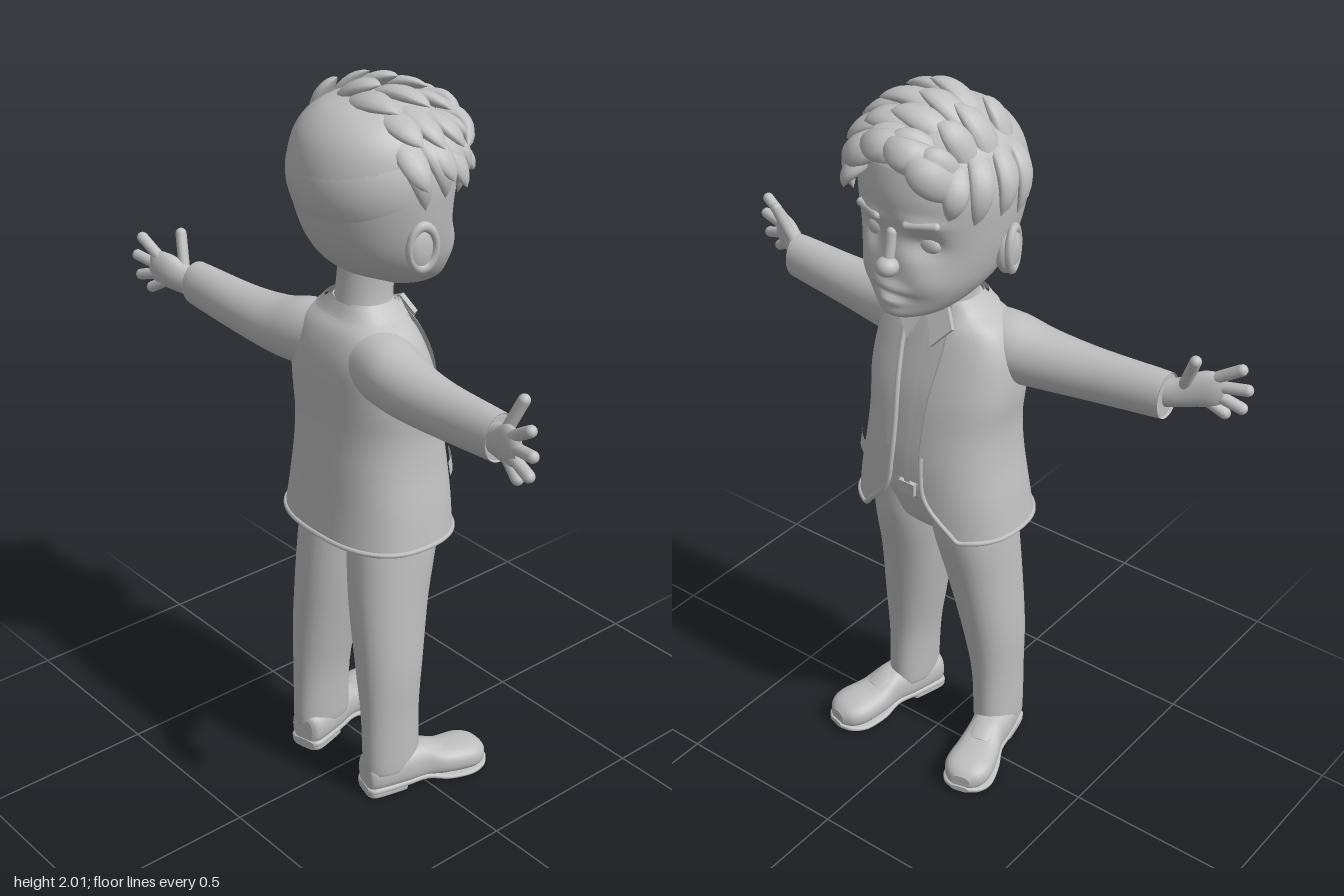
import * as THREE from 'three';

const V = (x, y, z) => new THREE.Vector3(x, y, z);
const PI = Math.PI;
const clay = new THREE.MeshStandardMaterial({ color: 0xbfbfbf, side: THREE.DoubleSide });
clay.name = 'warmGrey';

// Smooth skin over rows of points; closed rows wrap round, caps close both ends
function skin(rows, closed = true, caps = closed) {
  const n = rows[0].length, m = rows.length, pos = [], idx = [];
  rows.forEach((r) => r.forEach((p) => pos.push(p.x, p.y, p.z)));
  for (let j = 0; j < m - 1; j++) {
    for (let i = 0; i < (closed ? n : n - 1); i++) {
      const a = j * n + i, b = j * n + ((i + 1) % n);
      idx.push(a, b, a + n, b, b + n, a + n);
    }
  }
  if (caps) {
    [0, m - 1].forEach((j, e) => {
      const c = V(0, 0, 0), base = pos.length / 3;
      rows[j].forEach((p) => c.addScaledVector(p, 1 / n));
      pos.push(c.x, c.y, c.z);
      rows[j].forEach((p) => pos.push(p.x, p.y, p.z));
      for (let i = 0; i < n; i++) {
        const a = base + 1 + i, b = base + 1 + ((i + 1) % n);
        if (e) idx.push(a, b, base); else idx.push(b, a, base);
      }
    });
  }
  const g = new THREE.BufferGeometry();
  g.setAttribute('position', new THREE.Float32BufferAttribute(pos, 3));
  g.setIndex(idx);
  g.computeVertexNormals();
  return g;
}

// Spline through key sections [y, cx, cz, rx, rz, extra]
function keyAt(keys, t) {
  const i = Math.min(Math.floor(t), keys.length - 2), f = t - i;
  const k = (j) => keys[Math.max(0, Math.min(keys.length - 1, j))];
  return keys[i].map((p1, c) => {
    const p0 = k(i - 1)[c], p2 = k(i + 1)[c], p3 = k(i + 2)[c];
    const a = (p2 - p0) / 2, b = (p3 - p1) / 2;
    return p1 + f * (a + f * (3 * (p2 - p1) - 2 * a - b + f * (2 * (p1 - p2) + a + b)));
  });
}
// Angle 0 is the back (+z), PI the face side (-z)
function ringPoint(k, th, e = 2, off = 0) {
  const s = Math.sin(th), c = Math.cos(th), q = 2 / e;
  return V(k[1] + (k[3] + off) * Math.sign(s) * Math.abs(s) ** q, k[0],
    k[2] + (k[4] + off) * Math.sign(c) * Math.abs(c) ** q);
}
function loft(keys, { n = 32, per = 4, e = 2 } = {}) {
  const rows = [], total = (keys.length - 1) * per;
  for (let j = 0; j <= total; j++) {
    const k = keyAt(keys, j / per);
    rows.push(Array.from({ length: n }, (_, i) => ringPoint(k, (i / n) * 2 * PI, e)));
  }
  return skin(rows);
}
function mirrored(geo) {
  const g = geo.clone().scale(-1, 1, 1), a = g.index.array;
  for (let i = 0; i < a.length; i += 3) [a[i], a[i + 1]] = [a[i + 1], a[i]];
  return g;
}
function ball(x, y, z, rx, ry, rz) {
  return new THREE.SphereGeometry(1, 24, 16).scale(rx, ry, rz).translate(x, y, z);
}
function capsule(a, b, r) {
  const d = b.clone().sub(a);
  const g = new THREE.CapsuleGeometry(r, d.length(), 6, 12);
  g.applyQuaternion(new THREE.Quaternion().setFromUnitVectors(V(0, 1, 0), d.clone().normalize()));
  const c = a.clone().lerp(b, 0.5);
  return g.translate(c.x, c.y, c.z);
}

// Jacket sections; the last value is the half angle of the front opening
const JACKET = [
  [0.80, 0, 0.035, 0.245, 0.18, 0.6], [0.9, 0, 0.03, 0.23, 0.175, 0.22], [1.0, 0, 0.03, 0.212, 0.17, 0.16],
  [1.1, 0, 0.035, 0.205, 0.16, 0.16], [1.2, 0, 0.045, 0.213, 0.15, 0.18], [1.3, 0, 0.06, 0.205, 0.133, 0.24],
  [1.37, 0, 0.062, 0.17, 0.11, 0.32], [1.41, 0, 0.055, 0.115, 0.085, 0.45], [1.44, 0, 0.05, 0.085, 0.075, 0.65]];
const JE = 2.5;

// Patch lying on the jacket, from th0(t) to th1(t)
function jacketPatch(t0, t1, th0, th1, off, m = 16, n = 10) {
  const rows = [];
  for (let j = 0; j <= m; j++) {
    const t = t0 + ((t1 - t0) * j) / m, k = keyAt(JACKET, t), row = [];
    for (let i = 0; i <= n; i++) {
      const a = th0(t, k), b = th1(t, k);
      row.push(ringPoint(k, a + ((b - a) * i) / n, JE, off));
    }
    rows.push(row);
  }
  return skin(rows, false);
}

// Hair directions: phi tips sideways from the crown, psi towards the back
function scalp(phi, psi, off) {
  return V((0.21 + off) * Math.sin(phi) * Math.cos(psi), 1.77 + (0.195 + off) * Math.cos(phi) * Math.cos(psi),
    0.015 + (0.205 + off) * Math.sin(psi));
}
function lock(a, b, c, w, th) {
  const path = new THREE.QuadraticBezierCurve3(a, b, c), rows = [];
  for (let j = 0; j <= 9; j++) {
    const t = j / 9, p = path.getPoint(t), T = path.getTangent(t);
    const N = p.clone().sub(V(0, 1.77, 0.015));
    N.addScaledVector(T, -N.dot(T)).normalize();
    const B = N.clone().cross(T), s = Math.max(0.02, (0.65 + 1.1 * t) * (1 - t) ** 0.75);
    rows.push(Array.from({ length: 12 }, (_, i) => {
      const q = (i / 12) * 2 * PI;
      return p.clone().addScaledVector(B, Math.cos(q) * w * s).addScaledVector(N, Math.sin(q) * th * s);
    }));
  }
  return skin(rows);
}

export function createModel() {
  const model = new THREE.Group();
  const add = (name, geo) => {
    const m = new THREE.Mesh(geo, clay);
    m.name = name;
    model.add(m);
  };
  const pair = (name, geo) => { add(name + 'Left', geo); add(name + 'Right', mirrored(geo)); };
  let seed = 7;
  const rnd = () => (seed = (seed * 16807) % 2147483647) / 2147483647 - 0.5;

  // Head with eye sockets, brows, cheeks and lips shaped by soft pushes
  const head = loft([
    [1.452, 0, -0.12, 0.03, 0.04], [1.475, 0, -0.085, 0.095, 0.1], [1.53, 0, -0.035, 0.15, 0.155],
    [1.6, 0, -0.002, 0.185, 0.183], [1.7, 0, 0.017, 0.207, 0.2], [1.79, 0, 0.023, 0.213, 0.207],
    [1.88, 0, 0.025, 0.188, 0.182], [1.94, 0, 0.02, 0.13, 0.13], [1.965, 0, 0.02, 0.05, 0.05]], { n: 80, per: 8 });
  const pushes = [[0.078, 1.665, 0.045, 0.03, 0.028], [0.08, 1.725, 0.05, 0.014, -0.012], [0.095, 1.57, 0.05, 0.045, -0.014],
    [0, 1.545, 0.05, 0.014, -0.012], [0, 1.527, 0.045, 0.006, 0.012], [0, 1.51, 0.035, 0.012, -0.012], [0, 1.475, 0.05, 0.025, -0.012]];
  const hp = head.attributes.position;
  for (let i = 0; i < hp.count; i++) {
    if (hp.getZ(i) > -0.05) continue;
    let z = hp.getZ(i);
    for (const [x, y, sx, sy, d] of pushes) {
      z += d * Math.exp(-(((Math.abs(hp.getX(i)) - x) / sx) ** 2) - ((hp.getY(i) - y) / sy) ** 2);
    }
    hp.setZ(i, z);
  }
  head.computeVertexNormals();
  add('head', head);
  add('nose', ball(0, 1.605, -0.202, 0.03, 0.026, 0.03));
  add('noseBridge', capsule(V(0, 1.62, -0.196), V(0, 1.69, -0.182), 0.014));
  pair('eye', ball(0.078, 1.662, -0.132, 0.036, 0.026, 0.02));
  pair('eyebrow', capsule(V(0.045, 1.722, -0.183), V(0.115, 1.728, -0.158), 0.011));
  pair('ear', ball(0.193, 1.62, 0.03, 0.026, 0.065, 0.042));
  pair('earRim', new THREE.TorusGeometry(0.042, 0.011, 8, 24).scale(0.85, 1.3, 1).rotateY(PI / 2 - 0.3).translate(0.207, 1.625, 0.032));
  add('neck', loft([[1.37, 0, 0.055, 0.1, 0.085], [1.44, 0, 0.048, 0.078, 0.073], [1.54, 0, 0.035, 0.078, 0.072]]));

  // Hair: smooth cap, locks swept to one side, fringe and side tufts
  add('hairCap', new THREE.SphereGeometry(1, 40, 20, 0, 2 * PI, 0, PI * 0.5).rotateX(0.42).scale(0.22, 0.2, 0.214).translate(0, 1.77, 0.018));
  [-0.8, -0.45, -0.1, 0.25].forEach((psi0) => [-0.95, -0.45, 0.0, 0.45, 0.95].forEach((phi0) => {
    const phi = phi0 + rnd() * 0.2, psi = psi0 + rnd() * 0.15, tip = phi + 0.62 + rnd() * 0.15;
    add('topLock', lock(scalp(phi, psi, -0.01), scalp(phi + 0.35, psi, 0.035), scalp(tip, psi - 0.08, 0.04), 0.05, 0.026));
  }));
  [-1.15, -0.65, -0.15, 0.35].forEach((phi, i) => {
    add('fringeLock', lock(scalp(phi, -0.8, 0), scalp(phi + 0.35, -1.0, 0.075), scalp(phi + 0.85, -0.9 + 0.06 * i, 0.035), 0.058, 0.036));
  });
  [-0.75, -0.45, -0.12, 0.18].forEach((psi, i) => [-1, 1].forEach((s) => {
    add('sideLock', lock(scalp(s * 0.95, psi + 0.1, 0), scalp(s * 1.3, psi, 0.05), scalp(s * (1.72 + 0.08 * (i % 2)), psi - 0.1, 0.012), 0.045, 0.022));
  }));

  // Shirt, collar and belt
  add('shirt', loft(JACKET.slice(1).map((k) => [k[0], 0, k[2], k[3] * 0.93, k[4] * 0.9]), { n: 48, e: JE }));
  add('shirtPlacket', jacketPatch(1, 6.5, () => PI - 0.02, () => PI + 0.02, -0.009));
  const flap = new THREE.Shape([[0.0, 0.02], [0.055, 0.05], [0.085, 0.0], [0.035, -0.06]].map(([x, y]) => new THREE.Vector2(x, y)));
  pair('shirtCollar', new THREE.ExtrudeGeometry(flap, { depth: 0.012, bevelEnabled: false }).toNonIndexed().rotateX(0.45)
    .translate(0.003, 1.395, -0.058).setIndex([...Array(36).keys()]));
  add('belt', loft([[0.9, 0, 0.025, 0.19, 0.146], [0.905, 0, 0.025, 0.198, 0.154], [0.935, 0, 0.025, 0.198, 0.154], [0.94, 0, 0.025, 0.19, 0.146]], { n: 48 }));
  add('beltBuckle', new THREE.BoxGeometry(0.05, 0.036, 0.014).translate(0, 0.92, -0.132));

  // Open jacket with lapels, pocket flaps and rolled edge
  const edge = (t, k) => PI - k[5];
  add('jacket', jacketPatch(0, 8, (t, k) => k[5] - PI, edge, 0, 40, 64));
  const lapelWidth = (t) => 0.05 + 0.42 * Math.sin(PI * Math.min(1, Math.max(0, (t - 2.4) / 5.2)) ** 1.5);
  pair('lapel', jacketPatch(2.4, 7.8, (t, k) => edge(t, k) - lapelWidth(t), edge, 0.011, 24));
  pair('pocketFlap', jacketPatch(1.6, 2.0, () => 2.05, () => 2.6, 0.012, 4));
  const rim = [];
  for (let t = 7.8; t >= 0; t -= 0.3) { const k = keyAt(JACKET, t); rim.push(ringPoint(k, edge(t, k), JE)); }
  const hem = JACKET[0];
  for (let i = 1; i < 30; i++) rim.push(ringPoint(hem, (PI - hem[5]) * (1 - i / 15), JE));
  for (let i = 26; i >= 0; i--) rim.push(V(-rim[i].x, rim[i].y, rim[i].z));
  add('jacketEdge', new THREE.TubeGeometry(new THREE.CatmullRomCurve3(rim), 200, 0.007, 8));
  add('jacketCollar', jacketPatch(7, 8, () => -2.2, () => 2.2, 0.012, 8, 32));

  // Sleeves
  pair('sleeve', loft([[0.09, -1.305, 0.1, 0.09, 0.08], [0.17, -1.3, 0.105, 0.092, 0.088], [0.26, -1.29, 0.118, 0.08, 0.08],
    [0.4, -1.29, 0.13, 0.07, 0.066], [0.59, -1.3, 0.14, 0.064, 0.052], [0.6, -1.3, 0.14, 0.06, 0.048],
    [0.601, -1.3, 0.14, 0.045, 0.035]]).rotateZ(-PI / 2));

  // Hands with spread fingers
  pair('palm', loft([[0.57, -1.3, 0.142, 0.04, 0.032], [0.62, -1.307, 0.16, 0.041, 0.03], [0.67, -1.325, 0.182, 0.05, 0.028],
    [0.71, -1.33, 0.196, 0.048, 0.022], [0.73, -1.333, 0.202, 0.03, 0.012]]).rotateZ(-PI / 2));
  [[0.70, 1.36, 0.195, 0.768, 1.403, 0.205], [0.71, 1.338, 0.2, 0.785, 1.348, 0.213], [0.705, 1.315, 0.2, 0.774, 1.293, 0.212],
    [0.685, 1.295, 0.192, 0.732, 1.267, 0.206], [0.635, 1.325, 0.16, 0.677, 1.425, 0.138]].forEach((f, i) => {
    pair(i === 4 ? 'thumb' : 'finger', capsule(V(f[0], f[1], f[2]), V(f[3], f[4], f[5]), 0.0155));
  });

  // Trousers
  add('trouserSeat', loft([[0.74, 0, 0.035, 0.05, 0.07], [0.79, 0, 0.033, 0.16, 0.118], [0.85, 0, 0.03, 0.192, 0.135],
    [0.92, 0, 0.025, 0.19, 0.148]], { e: 2.3 }));
  pair('trouserLeg', loft([[0.085, 0.155, 0.085, 0.05, 0.08], [0.09, 0.155, 0.085, 0.056, 0.088], [0.25, 0.15, 0.085, 0.062, 0.088],
    [0.4, 0.138, 0.078, 0.078, 0.097], [0.6, 0.115, 0.06, 0.092, 0.115], [0.77, 0.1, 0.035, 0.1, 0.132],
    [0.88, 0.09, 0.03, 0.1, 0.13]], { e: 2.2 }));

  // Shoes turned slightly outwards, lofted from heel to toe
  const place = (g) => g.rotateX(-PI / 2).rotateY(-0.25).translate(0.152, 0, 0.1);
  pair('shoe', place(loft([[-0.068, 0, 0.06, 0.03, 0.038], [-0.05, 0, 0.065, 0.05, 0.052], [0.04, 0, 0.068, 0.056, 0.056],
    [0.11, 0, 0.066, 0.052, 0.056], [0.17, 0, 0.052, 0.062, 0.042], [0.24, 0, 0.048, 0.068, 0.04],
    [0.28, 0, 0.044, 0.054, 0.033], [0.3, 0, 0.04, 0.028, 0.02]], { e: 2.5 })));
  pair('sole', place(loft([[-0.07, 0, 0.02, 0.035, 0.01], [-0.05, 0, 0.024, 0.052, 0.012], [0.04, 0, 0.026, 0.054, 0.012],
    [0.11, 0, 0.026, 0.052, 0.011], [0.17, 0, 0.013, 0.066, 0.01], [0.24, 0, 0.012, 0.073, 0.01],
    [0.285, 0, 0.016, 0.056, 0.01], [0.306, 0, 0.02, 0.026, 0.008]], { e: 3 })));
  pair('heel', place(loft([[-0.068, 0, 0.014, 0.035, 0.014], [-0.05, 0, 0.014, 0.051, 0.014], [0.03, 0, 0.014, 0.051, 0.014],
    [0.045, 0, 0.014, 0.048, 0.014]], { e: 4 })));
  pair('shoeTongue', place(loft([[0.08, 0, 0.1, 0.03, 0.018], [0.12, 0, 0.1, 0.036, 0.02], [0.17, 0, 0.08, 0.036, 0.016]])));

  return model;
}
